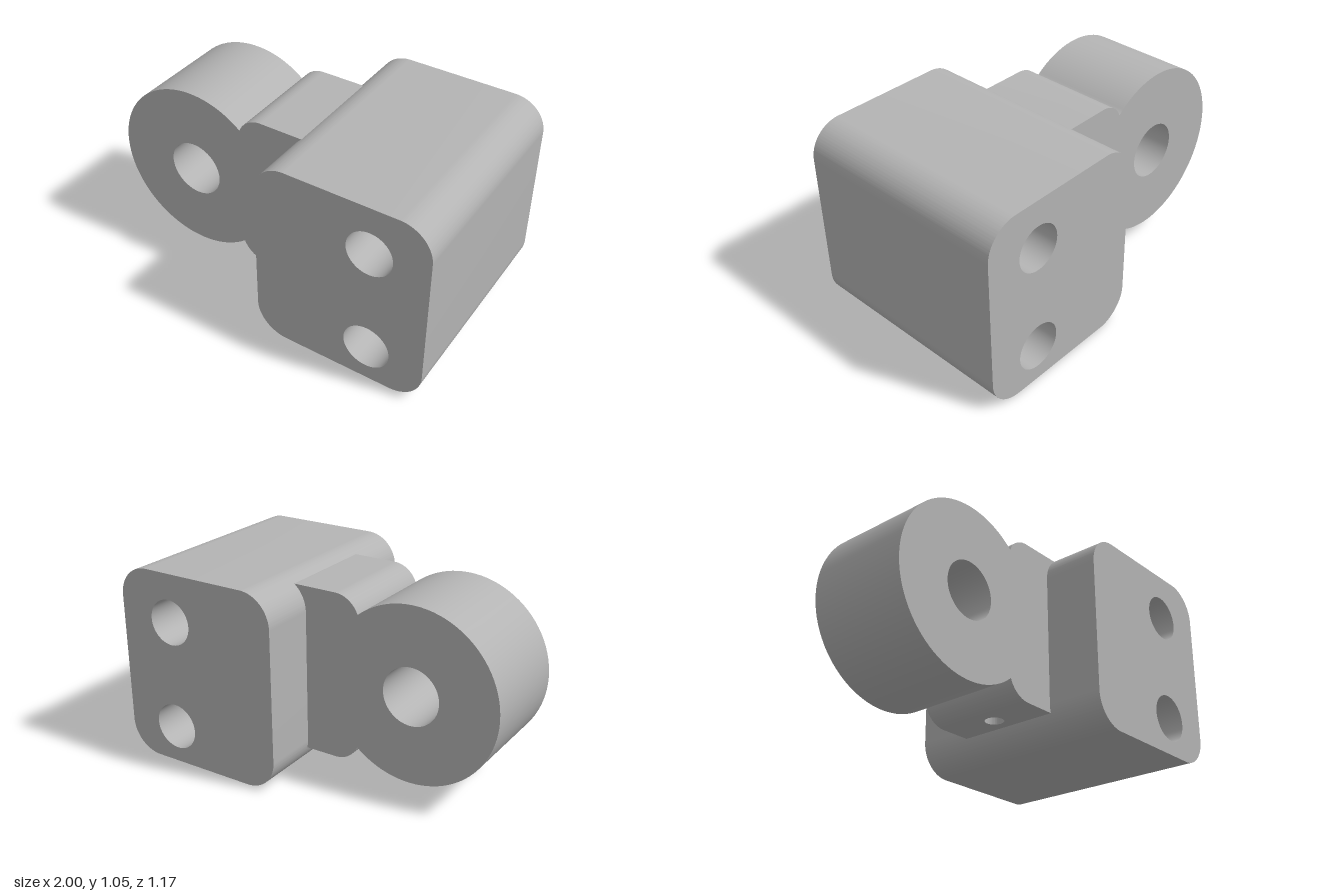
import * as THREE from 'three';
import { toCreasedNormals } from 'three/addons/utils/BufferGeometryUtils.js';

const grey = new THREE.MeshStandardMaterial({ color: 0xb4b4b4 });
grey.name = 'plain grey';

function circleHole(x, y, r) {
  return new THREE.Path().absarc(x, y, r, 0, Math.PI * 2, true);
}

// Extrudes a profile, keeping curved walls smooth and corners sharp
function extrude(name, shape, depth) {
  const raw = new THREE.ExtrudeGeometry(shape, { depth, bevelEnabled: false, curveSegments: 32 });
  const mesh = new THREE.Mesh(toCreasedNormals(raw, 0.45), grey);
  mesh.name = name;
  return mesh;
}

function roundedRect(x0, y0, x1, y1, r) {
  const s = new THREE.Shape();
  s.absarc(x1 - r, y0 + r, r, -Math.PI / 2, 0);
  s.absarc(x1 - r, y1 - r, r, 0, Math.PI / 2);
  s.absarc(x0 + r, y1 - r, r, Math.PI / 2, Math.PI);
  s.absarc(x0 + r, y0 + r, r, Math.PI, Math.PI * 1.5);
  s.closePath();
  return s;
}

export function createModel() {
  const model = new THREE.Group();
  model.name = 'hingeBlock';

  // Mounting block with two through holes
  const blockShape = roundedRect(0.065, 0, 1, 1.05, 0.17);
  blockShape.holes.push(circleHole(0.69, 0.79, 0.122), circleHole(0.695, 0.205, 0.125));
  const block = extrude('mountingBlock', blockShape, 1.17);
  block.position.z = -0.585;
  model.add(block);

  // Round eye and neck, with a recess under the neck for the drilled insert
  const a = 0.877, b = 0.38, midY = 0.57;
  const link = new THREE.Shape();
  link.absarc(-0.535, midY, 0.465, a, Math.PI * 2 - a);
  link.absarc(-0.105, 0.265, 0.14, Math.PI + b, Math.PI * 1.5);
  link.lineTo(-0.1, 0.125);
  link.lineTo(-0.1, 0.4);
  link.lineTo(0.12, 0.4);
  link.lineTo(0.12, 0.125);
  link.lineTo(0.2, 0.125);
  link.lineTo(0.2, 1.015);
  link.absarc(-0.105, 0.875, 0.14, Math.PI / 2, Math.PI - b);
  link.closePath();
  link.holes.push(circleHole(-0.535, midY, 0.153));
  const eye = extrude('eyeAndNeck', link, 0.566);
  eye.position.z = -0.283;
  model.add(eye);

  // Underside of the neck with a small blind hole
  const insertShape = new THREE.Shape([
    new THREE.Vector2(-0.1, -0.283), new THREE.Vector2(0.12, -0.283),
    new THREE.Vector2(0.12, 0.283), new THREE.Vector2(-0.1, 0.283),
  ]);
  insertShape.holes.push(circleHole(-0.03, 0, 0.05));
  const insert = extrude('neckUnderside', insertShape, 0.275);
  insert.rotation.x = -Math.PI / 2;
  insert.position.y = 0.125;
  model.add(insert);

  return model;
}
